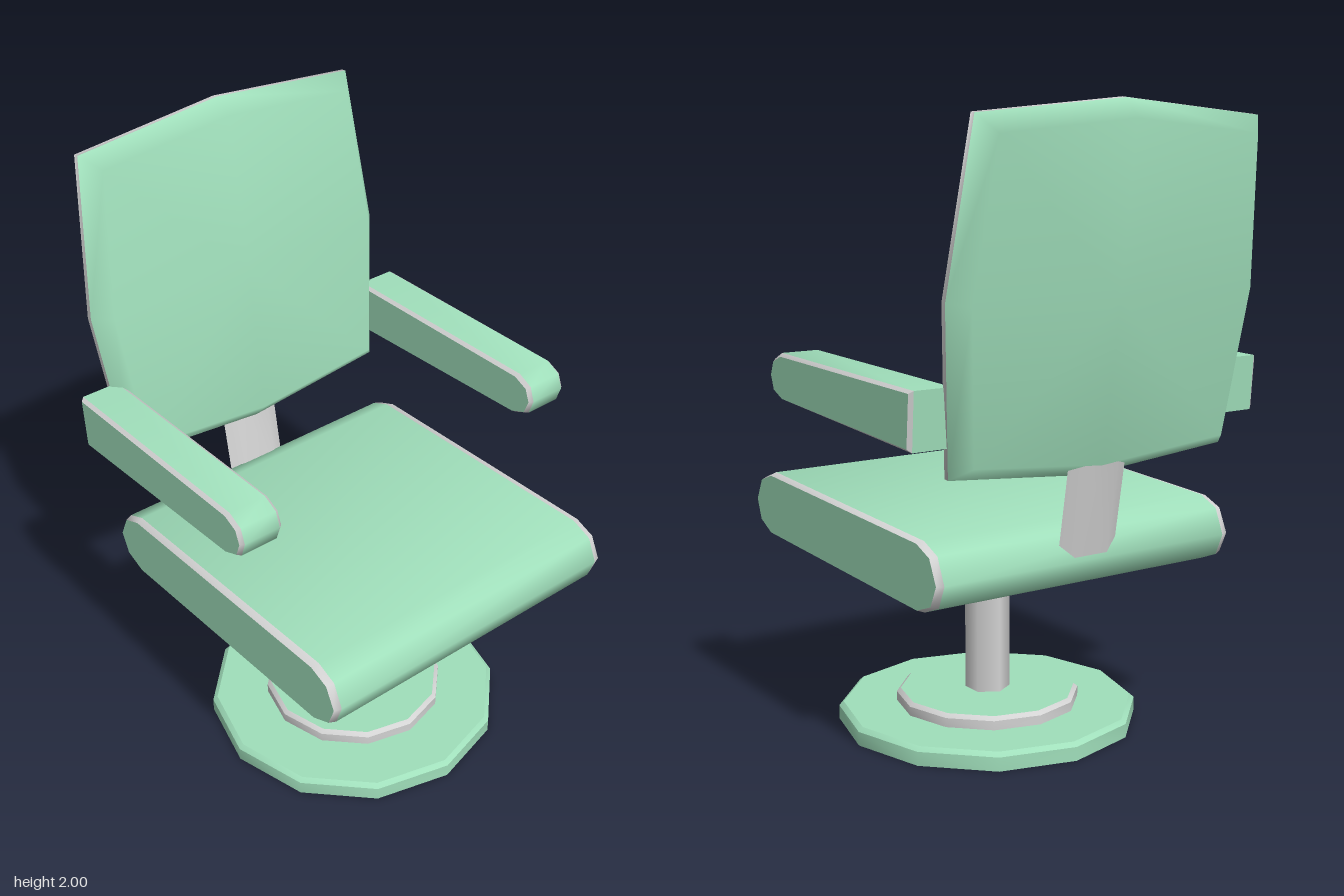
import * as THREE from 'three';
import { mergeGeometries, toCreasedNormals } from 'three/addons/utils/BufferGeometryUtils.js';

const green = new THREE.MeshStandardMaterial({ color: 0xa0dfbb });
green.name = 'green padding';
const grey = new THREE.MeshStandardMaterial({ color: 0xd3d3d3 });
grey.name = 'grey trim';

const V = (x, y, z) => new THREE.Vector3(x, y, z);

// Skin between rings (counter-clockwise about the loft direction); optional cap centres
function loft(rings, startCentre, endCentre) {
  const n = rings[0].length, points = rings.flat(), index = [];
  for (let r = 0; r < rings.length - 1; r++) {
    for (let i = 0; i < n; i++) {
      const a = r * n + i, b = r * n + (i + 1) % n;
      index.push(a, b, a + n, b, b + n, a + n);
    }
  }
  const fan = (centre, start, flip) => {
    const c = points.push(centre) - 1;
    for (let i = 0; i < n; i++) {
      const a = start + i, b = start + (i + 1) % n;
      index.push(c, flip ? b : a, flip ? a : b);
    }
  };
  if (startCentre) fan(startCentre, 0, true);
  if (endCentre) fan(endCentre, (rings.length - 1) * n, false);
  const g = new THREE.BufferGeometry().setFromPoints(points);
  g.setIndex(index);
  g.computeVertexNormals();
  return g;
}

function part(name, geometry, material) {
  const m = new THREE.Mesh(geometry, material);
  m.name = name;
  return m;
}

// Padded slab: side profile [z, y] swept from x0 to x1, with grey piping on both ends
function cushion(name, profile, x0, x1, bevel, inset) {
  const range = k => {
    const v = profile.map(p => p[k]);
    const lo = Math.min(...v), hi = Math.max(...v);
    return [(lo + hi) / 2, (hi - lo) / 2];
  };
  const [cz, hz] = range(0), [cy, hy] = range(1);
  const ring = (x, d) => profile.map(([z, y]) =>
    V(x, cy + (y - cy) * (1 - d / hy), cz + (z - cz) * (1 - d / hz)));
  const group = new THREE.Group();
  group.name = name;
  const body = mergeGeometries([
    loft([ring(x0 + bevel, 0), ring(x1 - bevel, 0)]),
    loft([ring(x0, inset)], V(x0, cy, cz)),
    loft([ring(x1, inset)], null, V(x1, cy, cz)),
  ]);
  const piping = mergeGeometries([
    loft([ring(x0, inset), ring(x0 + bevel, 0)]),
    loft([ring(x1 - bevel, 0), ring(x1, inset)]),
  ]);
  group.add(part(name + 'Pad', toCreasedNormals(body, 0.9), green),
    part(name + 'Piping', toCreasedNormals(piping, 0.9), grey));
  return group;
}

// Lens-shaped padded back, built upright and then leaned backwards
function backrest() {
  const outline = [[0.5, 0.505], [0, 0.55], [-0.5, 0.505], [-0.55, 0],
    [-0.5, -0.505], [0, -0.55], [0.5, -0.505], [0.55, 0]];
  const ring = (z, s) => outline.map(([x, y]) => V(x * s, y * s, z));
  const rim = 0.009, face = 0.066, s = 0.91;
  const group = new THREE.Group();
  group.name = 'backrest';
  group.add(
    part('backrestFront', loft([ring(rim, 1), ring(face, s)], null, V(0, 0, face + 0.004)), green),
    part('backrestRear', loft([ring(-face, s), ring(-rim, 1)], V(0, 0, -face - 0.004)), green),
    part('backrestPiping', loft([ring(-rim, 1), ring(rim, 1)]), grey));
  group.position.set(0, 1.455, -0.525);
  group.rotation.x = -0.137;
  return group;
}

function lathe(profile) {
  const g = new THREE.LatheGeometry(profile.map(([r, y]) => new THREE.Vector2(r, y)), 12);
  return toCreasedNormals(g, 0.6);
}

export function createModel() {
  const chair = new THREE.Group();
  chair.name = 'swivelChair';

  // Foot plate, raised disc and column
  const stand = new THREE.Group();
  stand.name = 'stand';
  stand.position.z = 0.08;
  stand.add(
    part('footPlate', lathe([[0, 0], [0.49, 0], [0.49, 0.045], [0.475, 0.058], [0, 0.058]]), green),
    part('discEdge', lathe([[0.3, 0.055], [0.3, 0.088], [0.287, 0.1]]), grey),
    part('discTop', lathe([[0.287, 0.1], [0, 0.1]]), green));
  const column = part('column', new THREE.CylinderGeometry(0.073, 0.073, 0.5, 6), grey);
  column.position.y = 0.34;
  stand.add(column);
  chair.add(stand);

  // Seat
  chair.add(cushion('seat', [[-0.37, 0.765], [0.55, 0.802], [0.62, 0.775], [0.655, 0.7],
    [0.63, 0.63], [0.56, 0.595], [-0.37, 0.555], [-0.445, 0.585], [-0.475, 0.655], [-0.44, 0.735]],
  -0.543, 0.543, 0.023, 0.008));

  // Armrests
  const armProfile = [[-0.487, 1.22], [0.285, 1.236], [0.335, 1.212], [0.352, 1.165],
    [0.335, 1.115], [0.28, 1.09], [-0.475, 1.047]];
  chair.add(cushion('leftArmrest', armProfile, 0.487, 0.633, 0.012, 0.01),
    cushion('rightArmrest', armProfile, -0.633, -0.487, 0.012, 0.01));

  // Flat bracket joining seat and backrest
  const section = [[0.105, 0], [0.06, -0.024], [-0.06, -0.024], [-0.105, 0], [-0.06, 0.024], [0.06, 0.024]];
  const ring = y => section.map(([x, z]) => V(x, y, z));
  const bracket = part('backBracket', toCreasedNormals(
    loft([ring(-0.18), ring(0.18)], V(0, -0.18, 0), V(0, 0.18, 0)), 0.9), grey);
  bracket.position.set(0, 0.84, -0.475);
  bracket.rotation.x = -0.17;
  chair.add(bracket, backrest());

  return chair;
}
